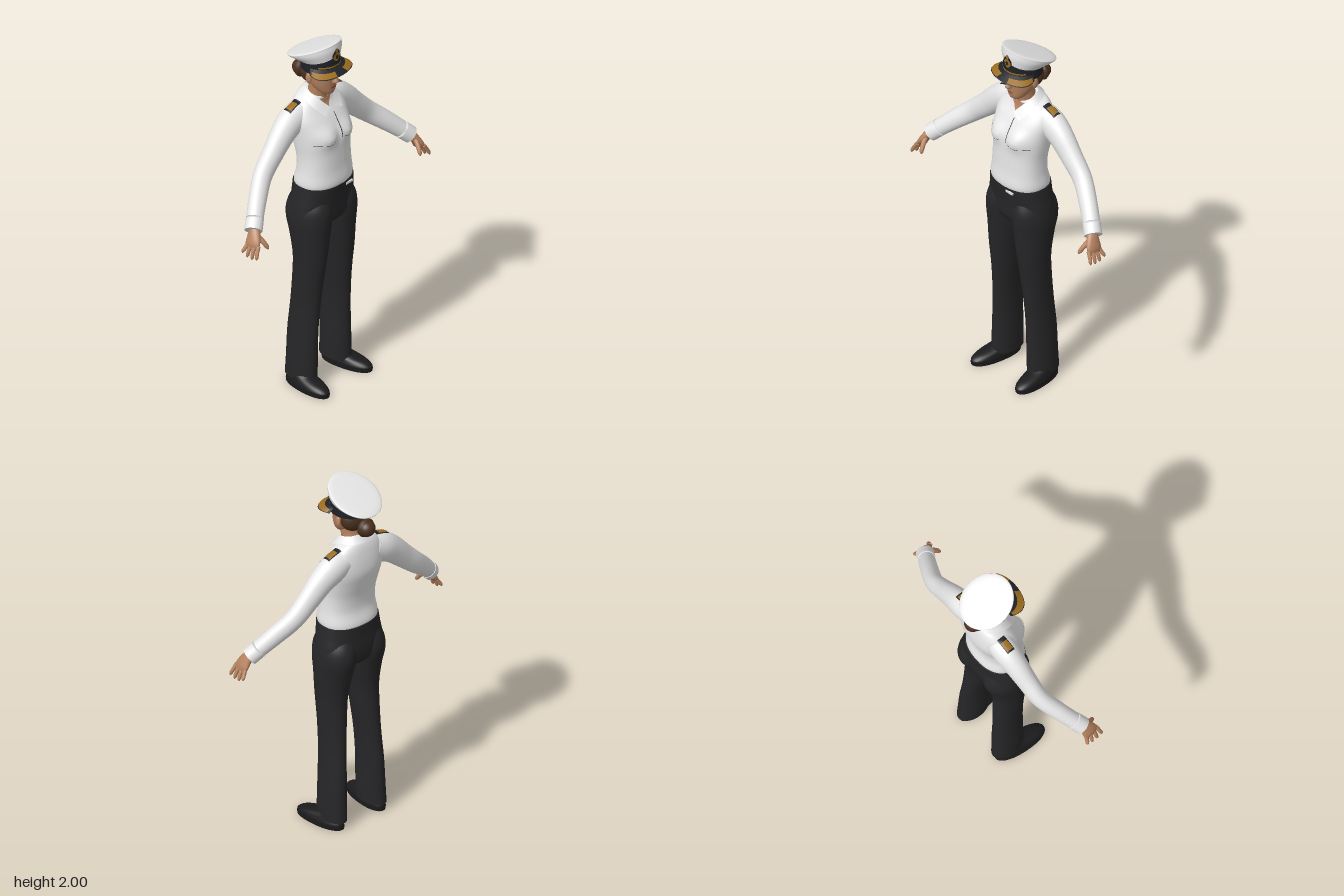
import * as THREE from 'three';

const V = (x, y, z) => new THREE.Vector3(x, y, z);
const mat = (name, color, side = THREE.FrontSide) => {
  const m = new THREE.MeshStandardMaterial({ color, side });
  m.name = name;
  return m;
};

// Surface from rows of points; closed rows wrap round and get flat end caps
function grid(rows, closed) {
  const n = rows[0].length, pts = rows.flat(), idx = [];
  for (let i = 0; i < rows.length - 1; i++) {
    for (let j = 0; j < (closed ? n : n - 1); j++) {
      const k = (j + 1) % n, a = i * n + j, b = i * n + k, c = b + n, d = a + n;
      idx.push(a, b, c, a, c, d);
    }
  }
  if (closed) [rows[0], rows.at(-1)].forEach((row, end) => {
    const s = pts.length;
    pts.push(...row, row.reduce((m, p) => m.add(p), V(0, 0, 0)).divideScalar(n));
    for (let j = 0; j < n; j++) {
      const k = (j + 1) % n;
      idx.push(s + n, s + (end ? j : k), s + (end ? k : j));
    }
  });
  const g = new THREE.BufferGeometry().setFromPoints(pts);
  g.setIndex(idx);
  g.computeVertexNormals();
  return g;
}

// Smooth loft through sections [x, y, z, radiusAcross, radiusDepth]
function loft(sections, { upright = true, seg = 36, steps = 5, power = 2, warp } = {}) {
  const path = new THREE.CatmullRomCurve3(sections.map(s => V(s[0], s[1], s[2])), false, 'catmullrom');
  const size = new THREE.CatmullRomCurve3(sections.map(s => V(s[3], s[4], 0)), false, 'catmullrom');
  const count = (sections.length - 1) * steps, rows = [];
  const round = w => Math.sign(w) * Math.abs(w) ** (2 / power);
  for (let i = 0; i <= count; i++) {
    const c = path.getPoint(i / count), r = size.getPoint(i / count);
    const t = upright ? V(0, 1, 0) : path.getTangent(i / count);
    const v = V(0, 0, 1).addScaledVector(t, -t.z).normalize();
    const u = v.clone().cross(t);
    rows.push(Array.from({ length: seg }, (_, j) => {
      const a = j / seg * Math.PI * 2;
      const p = c.clone().addScaledVector(u, r.x * round(Math.cos(a))).addScaledVector(v, r.y * round(Math.sin(a)));
      if (warp) warp(p);
      return p;
    }));
  }
  return grid(rows, true);
}

// Thin patch laid on target meshes, seen from the front or from above
function drape(targets, shape, { above = false, lift = 0.003, nu = 12, nv = 8 } = {}) {
  const ray = new THREE.Raycaster(), rows = [];
  for (let i = 0; i <= nv; i++) {
    rows.push(Array.from({ length: nu + 1 }, (_, j) => {
      const [a, b] = shape(j / nu, i / nv);
      ray.set(above ? V(a, 3, b) : V(a, b, 3), above ? V(0, -1, 0) : V(0, 0, -1));
      const hit = ray.intersectObjects(targets)[0];
      const h = (hit ? 3 - hit.distance : 0) + lift;
      return above ? V(a, h, b) : V(a, b, h);
    }));
  }
  return grid(rows, false);
}
const rect = (cx, cy, w, h) => (u, v) => [cx + (u - 0.5) * w, cy + (v - 0.5) * h];
const oval = (cx, cy, w, h) => (u, v) => [cx + (u - 0.5) * w * Math.sin(Math.PI * (0.04 + 0.92 * v)), cy + (v - 0.5) * h];

export function createModel() {
  const model = new THREE.Group();
  const white = mat('white cotton', 0xeeeeee, THREE.DoubleSide);
  const cloth = mat('black trouser cloth', 0x262628);
  const leather = mat('shoe leather', 0x1b1b1d);
  const skin = mat('skin', 0xb5825f);
  const hair = mat('brown hair', 0x49301f);
  const gold = mat('gold braid', 0x9c6d1e, THREE.DoubleSide);
  const black = mat('cap black', 0x202227, THREE.DoubleSide);
  const lip = mat('lips', 0x8f5444);
  const add = (name, geo, material) => {
    const m = new THREE.Mesh(geo, material);
    m.name = name;
    model.add(m);
    return m;
  };
  const mirror = (sections, s) => sections.map(([x, ...rest]) => [x * s, ...rest]);
  const ball = (x, y, z, rx, ry, rz) => new THREE.SphereGeometry(1, 24, 16).scale(rx, ry, rz).translate(x, y, z);

  // Shirt body, with a bust and a neckline that drops to the front
  const shirt = add('shirtBody', loft([
    [0, 1.165, 0.01, 0.158, 0.12], [0, 1.2, 0.014, 0.165, 0.125], [0, 1.27, 0.018, 0.157, 0.113],
    [0, 1.35, 0.013, 0.155, 0.114], [0, 1.43, 0, 0.163, 0.122], [0, 1.5, -0.017, 0.17, 0.122],
    [0, 1.56, -0.03, 0.175, 0.108], [0, 1.61, -0.038, 0.16, 0.09], [0, 1.645, -0.04, 0.125, 0.075],
    [0, 1.665, -0.035, 0.09, 0.066], [0, 1.685, -0.027, 0.06, 0.055]], {
    seg: 56, power: 2.3, warp: p => {
      if (p.z > 0) p.z += 0.026 * Math.exp(-(((Math.abs(p.x) - 0.075) / 0.06) ** 2) - ((p.y - 1.475) / 0.05) ** 2);
      p.y -= 0.3 * (p.z + 0.03) * THREE.MathUtils.smoothstep(p.y, 1.55, 1.68);
    },
  }), white);
  add('trouserSeat', loft([[0, 0.925, 0, 0.06, 0.06], [0, 0.96, 0, 0.15, 0.105], [0, 1, 0.003, 0.192, 0.122],
    [0, 1.06, 0.003, 0.19, 0.126], [0, 1.12, 0.008, 0.179, 0.127], [0, 1.183, 0.012, 0.168, 0.13]],
  { power: 2.3, seg: 48 }), cloth);
  add('beltBuckle', new THREE.BoxGeometry(0.05, 0.012, 0.008).translate(0.055, 1.167, 0.139), white);

  // Shirt front: open neck, button placket
  add('openNeck', drape([shirt], (u, v) => [(u - 0.5) * 0.085 * v, 1.605 + 0.055 * v]), skin);
  add('placket', drape([shirt], rect(0.012, 1.39, 0.028, 0.41), { nv: 24, nu: 2 }), white);
  add('placketSeam', drape([shirt], rect(0.016, 1.515, 0.004, 0.13), { lift: 0.005, nu: 1 }), black);

  for (const s of [1, -1]) {
    const side = s > 0 ? 'left' : 'right';
    // Sleeve and cuff
    const sleeve = add(side + 'Sleeve', loft(mirror([
      [0.1, 1.585, -0.055, 0.072, 0.068], [0.17, 1.555, -0.058, 0.08, 0.068], [0.24, 1.51, -0.055, 0.072, 0.061],
      [0.32, 1.435, -0.05, 0.063, 0.053], [0.41, 1.352, -0.04, 0.056, 0.048], [0.5, 1.272, 0.003, 0.051, 0.046],
      [0.58, 1.195, 0.05, 0.045, 0.044], [0.612, 1.163, 0.07, 0.043, 0.045]], s), { upright: false }), white);
    add(side + 'Cuff', loft(mirror([[0.57, 1.205, 0.044, 0.047, 0.046], [0.614, 1.161, 0.071, 0.046, 0.047]], s),
      { upright: false }), white);

    // Hand with four fingers and a thumb
    add(side + 'Palm', loft(mirror([[0.6, 1.18, 0.066, 0.025, 0.028], [0.625, 1.143, 0.084, 0.022, 0.037],
      [0.645, 1.108, 0.094, 0.018, 0.044], [0.656, 1.085, 0.098, 0.009, 0.036]], s), { upright: false, seg: 20 }), skin);
    for (let i = 0; i < 4; i++) {
      const z = 0.064 + i * 0.023, d = (i - 1.5) * 0.008, tip = [1.05, 1.036, 1.034, 1.042][i];
      add(side + 'Finger', loft(mirror([[0.646, 1.105, z, 0.011, 0.011], [0.664, 1.075, z + d / 2, 0.0105, 0.0105],
        [0.674, tip + 0.012, z + d, 0.009, 0.009], [0.676, tip, z + d, 0.002, 0.002]], s),
      { upright: false, seg: 10, steps: 3 }), skin);
    }
    add(side + 'Thumb', loft(mirror([[0.618, 1.145, 0.1, 0.014, 0.014], [0.606, 1.112, 0.132, 0.013, 0.013],
      [0.597, 1.085, 0.15, 0.01, 0.01], [0.595, 1.075, 0.156, 0.002, 0.002]], s),
    { upright: false, seg: 10, steps: 3 }), skin);

    // Shoulder board
    const shoulder = [shirt, sleeve], top = { above: true, lift: 0.006 };
    const flat = (cx, w, d) => (u, v) => [s * cx + (u - 0.5) * w, -0.054 + (0.5 - v) * d];
    add(side + 'ShoulderBoard', drape(shoulder, flat(0.162, 0.084, 0.046), top), black);
    add(side + 'ShoulderBraid', drape(shoulder, flat(0.17, 0.052, 0.038), { above: true, lift: 0.009 }), gold);

    // Pocket flap with its shaded lower seam
    const sag = (h, y) => (u, v) => [s * 0.09 + (u - 0.5) * 0.11, y + v * h - 0.01 * (1 - Math.abs(2 * u - 1))];
    add(side + 'PocketFlap', drape([shirt], sag(0.045, 1.448), { lift: 0.005 }), white);
    add(side + 'PocketSeam', drape([shirt], sag(0.004, 1.445), { lift: 0.004, nv: 1 }), black);

    // Trouser leg
    add(side + 'TrouserLeg', loft(mirror([[0.134, 0.045, -0.02, 0.06, 0.096], [0.131, 0.15, -0.017, 0.06, 0.094],
      [0.127, 0.3, -0.015, 0.055, 0.093], [0.12, 0.45, -0.006, 0.054, 0.09], [0.112, 0.6, 0.005, 0.064, 0.09],
      [0.106, 0.75, 0.016, 0.075, 0.097], [0.1, 0.88, 0.01, 0.09, 0.113], [0.098, 0.98, 0.002, 0.099, 0.131],
      [0.094, 1.05, 0.003, 0.094, 0.129], [0.085, 1.12, 0.006, 0.075, 0.105]], s)), cloth);

    // Shoe, toe turned slightly out
    const turn = p => { p.x += s * 0.1 * p.z; };
    add(side + 'Shoe', loft(mirror([[0.15, 0.012, 0.042, 0.056, 0.146], [0.15, 0.028, 0.042, 0.057, 0.145],
      [0.149, 0.048, 0.03, 0.052, 0.122], [0.145, 0.07, -0.01, 0.046, 0.075], [0.14, 0.09, -0.02, 0.042, 0.06]], s),
    { power: 2.2, warp: turn }), leather);
    add(side + 'Sole', loft(mirror([[0.15, 0, 0.042, 0.057, 0.147], [0.15, 0.014, 0.042, 0.059, 0.149]], s),
      { power: 2.2, warp: turn, steps: 1 }), leather);
  }

  // Collar, open at the throat
  const half = (pts, s) => pts.map(([x, y, z]) => V(x * s, y, z));
  const edge = pts => new THREE.CatmullRomCurve3([...half(pts.slice(1), -1).reverse(), ...half(pts, 1)]).getPoints(40);
  const inner = edge([[0, 1.717, -0.088], [0.05, 1.71, -0.066], [0.066, 1.698, -0.02], [0.055, 1.668, 0.03], [0.012, 1.617, 0.073]]);
  const outer = edge([[0, 1.678, -0.118], [0.07, 1.68, -0.092], [0.1, 1.67, -0.025], [0.1, 1.637, 0.032], [0.066, 1.592, 0.088]]);
  add('collar', grid([outer, inner], false), white);

  // Neck, head and face
  add('neck', loft([[0, 1.62, -0.03, 0.055, 0.058], [0, 1.67, -0.024, 0.053, 0.056], [0, 1.72, -0.012, 0.052, 0.055],
    [0, 1.77, -0.01, 0.055, 0.06]]), skin);
  const head = add('head', loft([[0, 1.69, 0.05, 0.008, 0.006], [0, 1.695, 0.046, 0.03, 0.026],
    [0, 1.715, 0.03, 0.053, 0.05], [0, 1.75, 0.013, 0.072, 0.071], [0, 1.79, 0, 0.082, 0.088],
    [0, 1.83, -0.005, 0.087, 0.094], [0, 1.88, -0.005, 0.086, 0.09]], { seg: 48 }), skin);
  add('nose', loft([[0, 1.766, 0.082, 0.013, 0.008], [0, 1.775, 0.094, 0.016, 0.02], [0, 1.8, 0.087, 0.01, 0.015],
    [0, 1.826, 0.082, 0.008, 0.007]], { seg: 16 }), skin);
  add('lips', drape([head], oval(0, 1.738, 0.045, 0.014)), lip);
  for (const s of [1, -1]) {
    add('eye', drape([head], oval(s * 0.034, 1.807, 0.024, 0.01), { lift: 0.002 }), white);
    add('iris', drape([head], oval(s * 0.034, 1.807, 0.009, 0.009), { lift: 0.004 }), hair);
    add('eyebrow', drape([head], rect(s * 0.036, 1.824, 0.036, 0.005)), hair);
    add('ear', ball(s * 0.085, 1.79, -0.012, 0.01, 0.03, 0.018), skin);
  }

  // Hair gathered in a coiled bun
  add('hairBack', ball(0, 1.802, -0.046, 0.087, 0.075, 0.064), hair);
  add('bun', ball(0, 1.772, -0.138, 0.045, 0.043, 0.043), hair);
  add('bunCoil', new THREE.TorusGeometry(0.034, 0.018, 10, 24).translate(0, 1.772, -0.128), hair);

  // Peaked cap, its crown tilted up at the front
  const tilt = p => { p.y += 0.45 * THREE.MathUtils.clamp((p.y - 1.825) / 0.1, 0, 1) * (p.z + 0.045); };
  const band = add('capBand', loft([[0, 1.828, -0.005, 0.098, 0.104], [0, 1.855, -0.006, 0.099, 0.105],
    [0, 1.885, -0.008, 0.1, 0.106]], { warp: tilt, seg: 48 }), black);
  const crown = add('capCrown', loft([[0, 1.875, -0.008, 0.1, 0.105], [0, 1.905, -0.03, 0.125, 0.13],
    [0, 1.926, -0.045, 0.134, 0.14], [0, 1.934, -0.045, 0.131, 0.137], [0, 1.939, -0.045, 0.1, 0.105],
    [0, 1.941, -0.045, 0.004, 0.004]], { warp: tilt, seg: 48 }), white);
  add('chinStrap', drape([band], rect(0, 1.872, 0.17, 0.009), { nu: 24, nv: 1 }), gold);

  // Peak: a sloping sheet between two arcs, with gold leaf on each side
  const peak = (a0, a1, r0, r1, lift) => grid([r1, r0].map(r => Array.from({ length: 25 }, (_, j) => {
    const a = a0 + (a1 - a0) * j / 24, out = r * Math.max(0.12, Math.cos(a));
    return V(Math.sin(a) * (0.099 + 0.1 * out), 1.862 - 0.028 * r + lift, -0.006 + Math.cos(a) * 0.104 + 0.05 * out);
  })), false);
  add('capPeak', peak(-1.4, 1.4, 0, 1, 0), black);
  for (const s of [1, -1]) add('peakBraid', peak(s * 0.75 - 0.55, s * 0.75 + 0.55, 0.4, 0.95, 0.003), gold);

  // Cap badge
  add('badgeBacking', drape([crown, band], oval(0, 1.932, 0.058, 0.08), { lift: 0.004 }), black);
  add('badgeWreath', drape([crown, band], oval(0, 1.926, 0.048, 0.056), { lift: 0.006 }), gold);
  add('badgeCentre', drape([crown, band], oval(0, 1.925, 0.02, 0.028), { lift: 0.008 }), black);
  add('badgeTop', drape([crown, band], oval(0, 1.961, 0.022, 0.018), { lift: 0.006 }), gold);

  return model;
}
